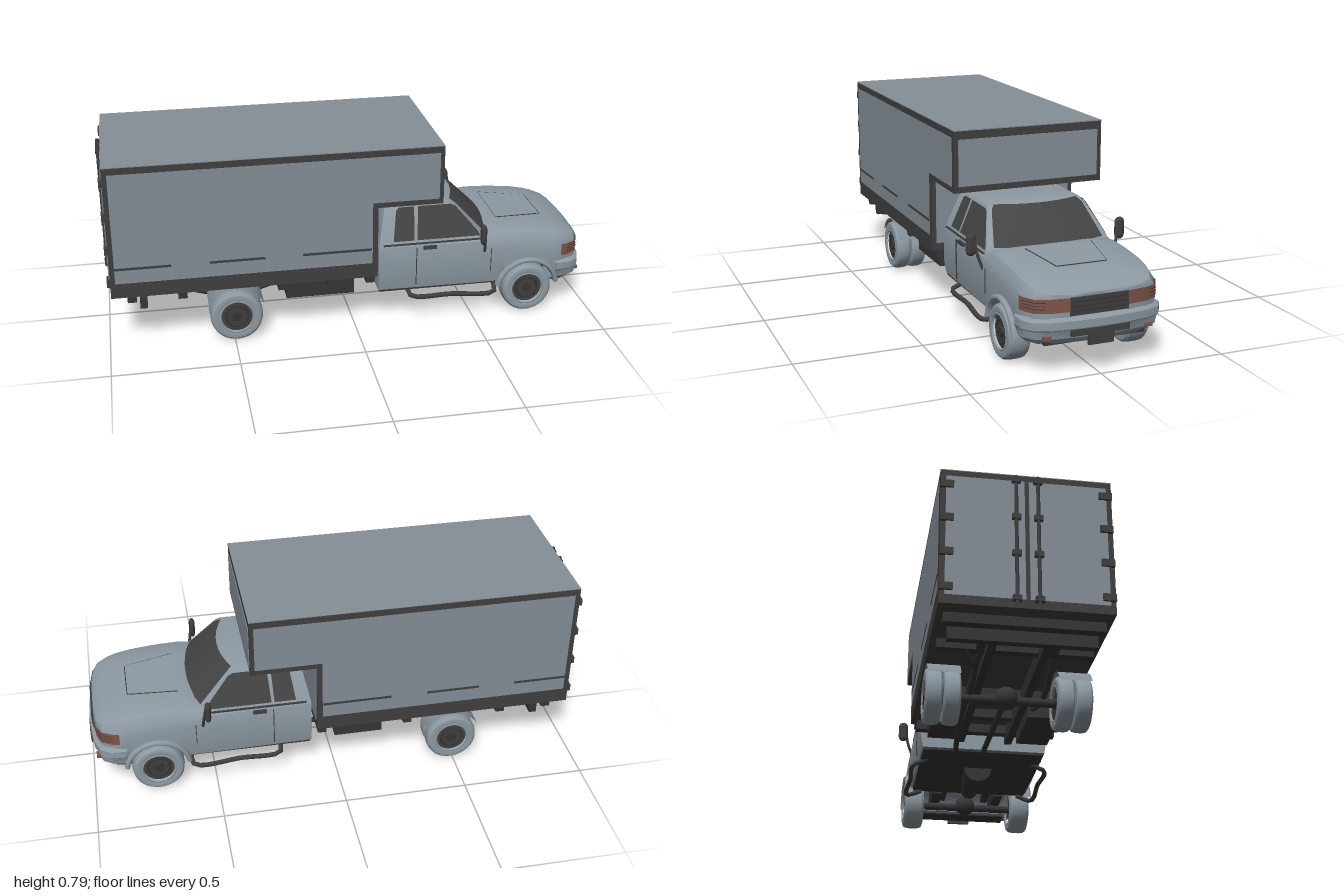
import * as THREE from 'three';
import { toCreasedNormals } from 'three/addons/utils/BufferGeometryUtils.js';

const mat = (name, color, side = THREE.FrontSide) => {
  const m = new THREE.MeshStandardMaterial({ color, side });
  m.name = name;
  return m;
};

export function createModel() {
  const truck = new THREE.Group();
  truck.name = 'boxTruck';
  const paint = mat('bodyPaint', 0x8d99a2);
  const panel = mat('cargoPanel', 0x858e97, THREE.DoubleSide);
  const trim = mat('darkTrim', 0x3f3f3f, THREE.DoubleSide);
  const glass = mat('darkGlass', 0x434343, THREE.DoubleSide);
  const lamp = mat('lamp', 0x80544a, THREE.DoubleSide);
  const tyreMat = mat('tyre', 0x8d99a2);
  const under = mat('underbody', 0x363636);

  const add = (name, geo, m, x = 0, y = 0, z = 0, parent = truck) => {
    const mesh = new THREE.Mesh(geo, m);
    mesh.name = name;
    mesh.position.set(x, y, z);
    parent.add(mesh);
    return mesh;
  };
  // Box given by its extents
  const box = (name, m, x0, x1, y0, y1, z0, z1) =>
    add(name, new THREE.BoxGeometry(x1 - x0, y1 - y0, z1 - z0), m, (x0 + x1) / 2, (y0 + y1) / 2, (z0 + z1) / 2);
  const boxPair = (name, m, x0, x1, y0, y1, z0, z1) => {
    box(name, m, x0, x1, y0, y1, z0, z1);
    box(name, m, x0, x1, y0, y1, -z1, -z0);
  };
  const shape = pts => new THREE.Shape(pts.map(p => new THREE.Vector2(...p)));
  // Flat plate in x,y laid on both sides, z given by a rule of y
  const sidePlate = (name, m, pts, zOf) => {
    for (const s of [1, -1]) {
      const g = new THREE.ShapeGeometry(shape(pts));
      const p = g.attributes.position;
      for (let i = 0; i < p.count; i++) p.setZ(i, s * zOf(p.getY(i)));
      g.computeVertexNormals();
      add(name, g, m);
    }
  };
  const rod = (name, m, pts, r) =>
    add(name, new THREE.TubeGeometry(new THREE.CatmullRomCurve3(pts.map(p => new THREE.Vector3(...p))), 16, r, 8), m);
  // Surface through cross-sections, optionally closed and capped
  const loft = (rings, closed = true) => {
    const n = rings[0].length, pos = rings.flat(2), idx = [];
    for (let i = 0; i < rings.length - 1; i++) {
      for (let j = 0; j < (closed ? n : n - 1); j++) {
        const a = i * n + j, b = i * n + (j + 1) % n;
        idx.push(a, a + n, b, b, a + n, b + n);
      }
    }
    if (closed) [0, rings.length - 1].forEach((r, end) => {
      const c = pos.length / 3;
      for (let k = 0; k < 3; k++) pos.push(rings[r].reduce((t, p) => t + p[k], 0) / n);
      for (let j = 0; j < n; j++) {
        const a = r * n + j, b = r * n + (j + 1) % n;
        idx.push(c, ...(end ? [b, a] : [a, b]));
      }
    });
    const g = new THREE.BufferGeometry();
    g.setAttribute('position', new THREE.Float32BufferAttribute(pos, 3));
    g.setIndex(idx);
    return toCreasedNormals(g, 0.6);
  };

  // Cargo body: dark frame with panels set on it
  const frame = new THREE.ExtrudeGeometry(
    shape([[-0.98, 0.237], [0.085, 0.237], [0.085, 0.54], [0.35, 0.54], [0.35, 0.783], [-0.98, 0.783]]),
    { depth: 0.626, bevelEnabled: false });
  add('cargoFrame', frame, trim, 0, 0, -0.313);
  sidePlate('cargoSidePanel', panel,
    [[-0.96, 0.3], [0.063, 0.3], [0.063, 0.562], [0.333, 0.562], [0.333, 0.757], [-0.96, 0.757]], () => 0.315);
  box('cargoRoof', panel, -0.98, 0.35, 0.782, 0.786, -0.313, 0.313);
  box('overCabPanel', panel, 0.349, 0.353, 0.565, 0.75, -0.295, 0.295);
  box('cargoFrontPanel', panel, 0.084, 0.088, 0.27, 0.54, -0.295, 0.295);
  for (const [a, b] of [[-0.96, -0.74], [-0.59, -0.37], [-0.22, 0.06]])
    boxPair('sideStripe', trim, a, b, 0.357, 0.367, 0.3135, 0.3165);
  boxPair('rearDoor', panel, -0.984, -0.979, 0.27, 0.757, 0.008, 0.293);
  for (const z of [0.04, -0.04]) {
    rod('doorLockRod', trim, [[-0.991, 0.25, z], [-0.991, 0.775, z]], 0.007);
    for (const y of [0.27, 0.45, 0.6, 0.755]) box('rodBracket', trim, -1, -0.98, y - 0.01, y + 0.01, z - 0.016, z + 0.016);
  }
  for (const y of [0.3, 0.44, 0.58, 0.72]) boxPair('doorHinge', trim, -0.992, -0.98, y - 0.014, y + 0.014, 0.265, 0.313);

  // Lower cab, bonnet and wings; the lower edge follows the wheel arch
  const wx = 0.735, wy = 0.107;
  const keys = [ // x, half width, belt height, top height
    [0.1, 0.268, 0.335, 0.348], [0.5, 0.274, 0.335, 0.36], [0.6, 0.274, 0.333, 0.376], [0.7, 0.274, 0.328, 0.373],
    [0.8, 0.273, 0.318, 0.364], [0.86, 0.27, 0.31, 0.353], [0.9, 0.262, 0.304, 0.343], [0.945, 0.238, 0.298, 0.326],
    [0.965, 0.195, 0.296, 0.314], [0.976, 0.12, 0.294, 0.303]];
  const at = x => {
    const i = Math.max(1, keys.findIndex(k => k[0] >= x - 1e-6)), a = keys[i - 1], b = keys[i];
    return a.map((v, k) => v + (b[k] - v) * (x - a[0]) / (b[0] - a[0]));
  };
  const xs = [0.1, 0.12, 0.3, 0.5, 0.57, 0.6];
  for (let i = 0; i <= 14; i++) xs.push(wx - 0.12 * Math.cos(Math.PI * i / 14));
  xs.push(0.86, 0.88, 0.9, 0.925, 0.945, 0.965, 0.976);
  add('cabBody', loft(xs.map(x => {
    const [, w, belt, top] = at(x), d = 0.126 ** 2 - (x - wx) ** 2;
    const yb = Math.max(0.145, d > 0 ? wy + Math.sqrt(d) : 0);
    const half = [[0.965 * w, yb], [w, Math.max(0.2, yb + 0.008)], [w, belt - 0.04], [0.975 * w, belt],
      [0.91 * w, belt + 0.65 * (top - belt)], [0.82 * w, top - 0.006], [0.5 * w, top - 0.001]];
    return [...half.map(([z, y]) => [x, y, z]), [x, top, 0], ...half.reverse().map(([z, y]) => [x, y, -z])];
  })), paint);
  const pad = new THREE.ExtrudeGeometry(shape([[0, -0.135], [0.2, -0.1], [0.2, 0.1], [0, 0.135]]),
    { depth: 0.006, bevelEnabled: false });
  pad.rotateX(-Math.PI / 2).rotateZ(-0.07);
  add('bonnetScoop', pad, paint, 0.63, 0.374, 0);
  for (const s of [1, -1]) {
    rod('bonnetSeam', trim, [[0.63, 0.379, 0.136 * s], [0.83, 0.364, 0.101 * s]], 0.0018);
    const flare = add('wheelArchFlare', new THREE.TorusGeometry(0.128, 0.011, 8, 28, Math.PI * 0.9), paint, wx, wy, s * 0.27);
    flare.rotation.z = Math.PI * 0.05;
    flare.scale.z = 1.9;
  }
  rod('bonnetFrontSeam', trim, [[0.832, 0.364, -0.1], [0.832, 0.364, 0.1]], 0.0018);

  // Upper cab with curved front
  const levels = [[0.335, 0.1, 0.264, 0.56, 0.618], [0.48, 0.13, 0.208, 0.425, 0.468],
    [0.498, 0.145, 0.194, 0.4, 0.447], [0.508, 0.19, 0.15, 0.36, 0.4]]; // y, back, half width, corner, front
  const bow = ([y, , w, xc, xf], lim, off = 0) => [-1, -0.75, -0.5, -0.25, 0, 0.25, 0.5, 0.75, 1].map(s =>
    [xf - (xf - xc) * (s * lim) ** 2 + off, y + off, w * s * lim]);
  add('cabRoof', loft(levels.map(l => [[l[1], l[0], -l[2]], ...bow(l, 1), [l[1], l[0], l[2]]])), paint);
  const mix = t => levels[0].map((v, k) => v + (levels[1][k] - v) * t);
  add('windscreen', loft([bow(mix(0.2), 0.9, 0.003), bow(levels[1], 0.92, 0.003), bow(levels[2], 0.9, 0.002)], false), glass);
  const zSide = y => 0.2665 - (y - 0.335) * 0.386;
  sidePlate('doorWindow', glass, [[0.262, 0.358], [0.528, 0.358], [0.52, 0.375], [0.43, 0.478], [0.41, 0.488], [0.272, 0.488]], zSide);
  sidePlate('quarterWindow', glass, [[0.162, 0.358], [0.25, 0.358], [0.256, 0.488], [0.192, 0.488], [0.18, 0.475]], zSide);
  boxPair('doorSeam', trim, 0.255, 0.258, 0.165, 0.33, 0.268, 0.274);
  boxPair('doorSeam', trim, 0.572, 0.575, 0.2, 0.3, 0.27, 0.2755);
  boxPair('beltStrip', trim, 0.12, 0.53, 0.343, 0.348, 0.258, 0.267);
  boxPair('doorHandle', trim, 0.285, 0.34, 0.322, 0.335, 0.266, 0.278);

  // Nose: lamps and grille on curved strips
  const strip = (name, m, pts, y0, y1) => add(name, loft([y0, y1].map(y => pts.map(([x, z]) => [x, y, z])), false), m);
  for (const s of [1, -1]) {
    strip('headlamp', lamp, [[0.98, 0.115], [0.969, 0.195], [0.949, 0.24], [0.904, 0.265], [0.88, 0.269]].map(([x, z]) => [x, z * s]), 0.24, 0.292);
    for (const y of [0.255, 0.267, 0.279])
      strip('lampRib', trim, [[0.97, 0.205], [0.951, 0.242], [0.906, 0.267]].map(([x, z]) => [x, z * s]), y, y + 0.003);
  }
  box('grille', trim, 0.965, 0.982, 0.225, 0.292, -0.115, 0.115);
  for (const y of [0.243, 0.26, 0.277]) box('grilleBar', under, 0.98, 0.985, y - 0.003, y + 0.003, -0.105, 0.105);

  // Front bumper swept around the nose
  const plan = [[0.86, 0.278], [0.92, 0.274], [0.96, 0.248], [0.982, 0.19], [0.993, 0.1]];
  const bumperRing = (y, k) => [...plan.map(([x, z]) => [x - k, y, -(z - k)]), [0.997 - k, y, 0],
    ...plan.slice().reverse().map(([x, z]) => [x - k, y, z - k])];
  add('frontBumper', loft([[0.12, 0.03], [0.145, 0.008], [0.175, 0.004], [0.18, 0], [0.21, 0], [0.222, 0.015]].map(a => bumperRing(...a))), paint);
  box('bumperIntake', trim, 0.97, 0.996, 0.153, 0.176, -0.115, 0.115);
  box('blankPlate', trim, 0.99, 1, 0.115, 0.168, -0.05, 0.05);
  boxPair('fogLamp', lamp, 0.955, 0.979, 0.144, 0.158, 0.185, 0.215);

  // Mirrors and side steps
  for (const s of [1, -1]) {
    const m = add('mirrorHead', new THREE.CapsuleGeometry(0.021, 0.048, 4, 12), trim, 0.525, 0.385, s * 0.312);
    m.scale.x = 0.6;
    rod('mirrorArm', trim, [[0.53, 0.4, s * 0.3], [0.54, 0.34, s * 0.29], [0.545, 0.29, s * 0.272]], 0.006);
    rod('sideStep', trim, [[0.23, 0.14, s * 0.22], [0.235, 0.118, s * 0.28], [0.4, 0.112, s * 0.283], [0.59, 0.105, s * 0.28], [0.6, 0.13, s * 0.22]], 0.01);
  }

  // Wheels: ribbed tyre, dark rim and hub
  const tyreProfile = [[0.062, -0.036], [0.067, -0.042], [0.072, -0.04], [0.084, -0.043], [0.096, -0.04], [0.103, -0.032], [0.106, -0.015]];
  const full = [...tyreProfile, ...tyreProfile.map(([r, h]) => [r, -h]).reverse()];
  const tyreGeo = toCreasedNormals(new THREE.LatheGeometry(full.map(p => new THREE.Vector2(...p)), 36), 0.5).rotateX(Math.PI / 2);
  const disc = (r, d) => new THREE.CylinderGeometry(r, r, d, 28).rotateX(Math.PI / 2);
  const wheel = (name, x, z, width) => {
    const g = new THREE.Group();
    g.name = name;
    g.position.set(x, wy, z);
    g.scale.z = width / 0.086 * Math.sign(z);
    add('tyre', tyreGeo, tyreMat, 0, 0, 0, g);
    add('rim', disc(0.064, 0.058), trim, 0, 0, 0, g);
    add('rimRing', new THREE.TorusGeometry(0.045, 0.004, 6, 28), under, 0, 0, 0.029, g);
    add('hub', disc(0.02, 0.076), under, 0, 0, 0, g);
    truck.add(g);
  };
  for (const s of [1, -1]) {
    wheel('frontWheel', wx, s * 0.243, 0.09);
    wheel('rearOuterWheel', -0.49, s * 0.282, 0.066);
    wheel('rearInnerWheel', -0.49, s * 0.213, 0.066);
    const guard = new THREE.CylinderGeometry(0.122, 0.122, 0.125, 24, 1, true, -Math.PI * 0.36, Math.PI * 0.72);
    guard.rotateX(-Math.PI / 2);
    add('rearMudguard', guard, panel, -0.49, wy, s * 0.247).rotation.z = guardTurn(guard);
  }

  // Chassis, axles and running gear
  boxPair('chassisRail', under, -0.86, 0.92, 0.175, 0.212, 0.085, 0.115);
  boxPair('cargoBearer', under, -0.78, 0.1, 0.21, 0.24, 0.085, 0.13);
  for (const x of [-0.9, -0.7, -0.3, -0.1, 0.06]) box('crossBeam', under, x - 0.018, x + 0.018, 0.2, 0.24, -0.29, 0.29);
  box('cabFloor', under, 0.105, 0.612, 0.135, 0.15, -0.255, 0.255);
  box('frontTray', under, 0.86, 0.95, 0.115, 0.15, -0.2, 0.2);
  boxPair('wheelWell', under, 0.62, 0.85, 0.13, 0.225, 0.12, 0.16);
  for (const x of [-0.49, wx]) {
    rod('axle', under, [[x, wy, -0.26], [x, wy, 0.26]], 0.018);
    add('differential', new THREE.SphereGeometry(0.045, 16, 12), under, x, wy + 0.01, 0);
  }
  rod('driveShaft', under, [[-0.49, 0.12, 0], [0.3, 0.155, 0]], 0.012);
  add('gearbox', new THREE.CylinderGeometry(0.035, 0.06, 0.3, 12).rotateZ(-Math.PI / 2), under, 0.44, 0.135, 0);
  box('fuelTank', under, -0.28, 0, 0.14, 0.212, 0.12, 0.25);
  box('batteryBox', under, -0.2, 0, 0.145, 0.212, -0.25, -0.13);
  rod('exhaust', under, [[0.45, 0.13, -0.07], [0.1, 0.14, -0.12], [-0.3, 0.15, -0.14], [-0.62, 0.17, -0.14], [-0.78, 0.16, -0.2]], 0.011);
  for (const s of [1, -1])
    rod('leafSpring', under, [[-0.72, 0.18, s * 0.14], [-0.49, 0.125, s * 0.14], [-0.26, 0.18, s * 0.14]], 0.011);
  box('rearBumper', under, -0.87, -0.84, 0.16, 0.208, -0.27, 0.27);
  boxPair('bumperBracket', under, -0.86, -0.74, 0.185, 0.215, 0.12, 0.15);
  return truck;
}

// Turn that brings the middle of an open arc to the top
function guardTurn(geo) {
  geo.computeBoundingBox();
  const { min, max } = geo.boundingBox;
  return max.y + min.y < 0 ? Math.PI : 0;
}
